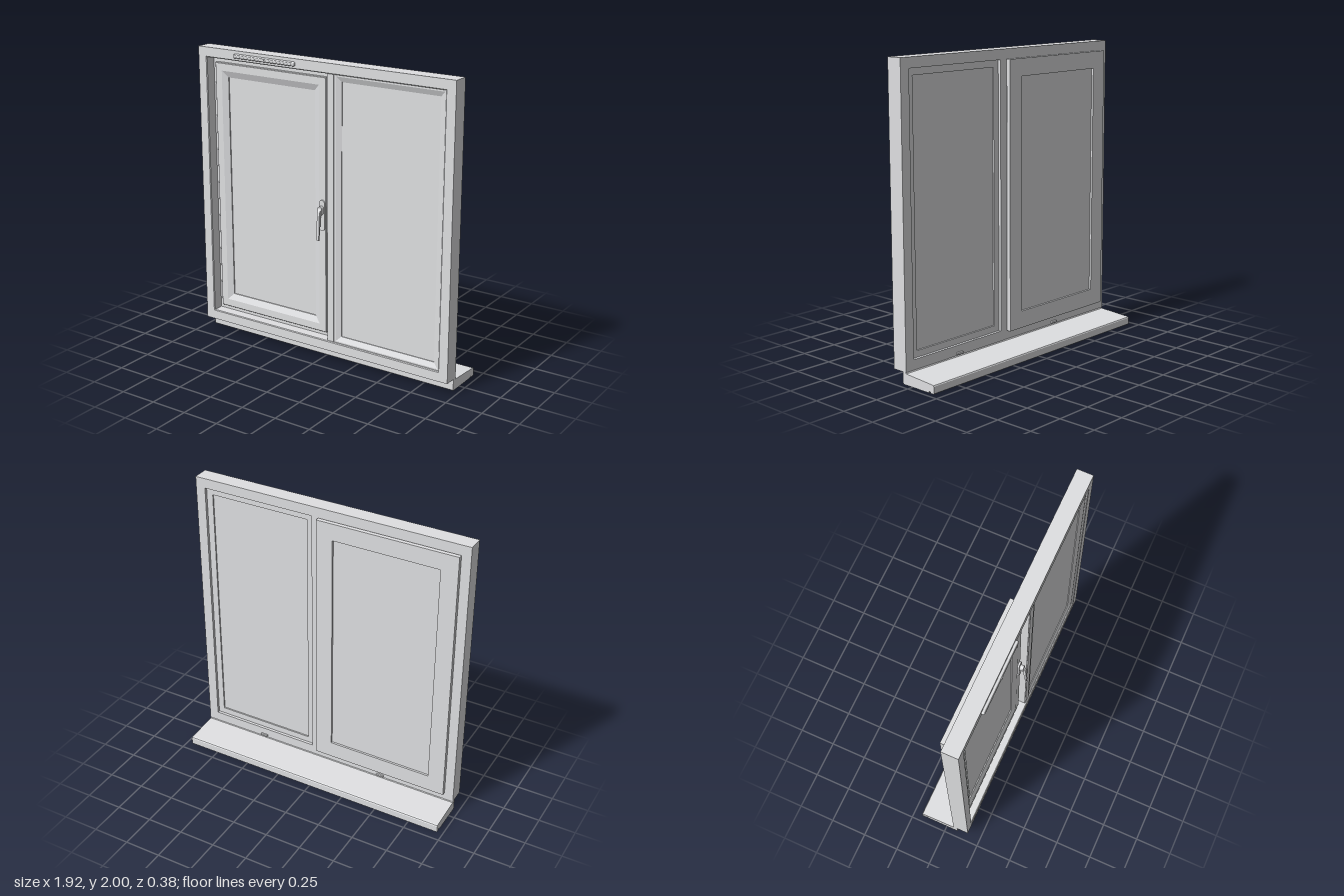
import * as THREE from 'three';
import { RoundedBoxGeometry } from 'three/addons/geometries/RoundedBoxGeometry.js';

const grey = new THREE.MeshStandardMaterial({ color: 0xdfe0e2 });
grey.name = 'window light grey';

function add(parent, name, geometry, x = 0, y = 0, z = 0) {
  const mesh = new THREE.Mesh(geometry, grey);
  mesh.name = name;
  mesh.position.set(x, y, z);
  parent.add(mesh);
  return mesh;
}

// Mitred rectangular ring: a closed [inset, z] profile, front outer edge first, run round a rectangle
function ring([x0, x1, y0, y1], profile) {
  const corner = (k, [d, z]) => [
    [x0 + d, y0 + d, z], [x1 - d, y0 + d, z], [x1 - d, y1 - d, z], [x0 + d, y1 - d, z],
  ][k % 4];
  const pos = [];
  profile.forEach((p, i) => {
    const q = profile[(i + 1) % profile.length];
    for (let k = 0; k < 4; k++) {
      const a = corner(k, p), b = corner(k + 1, p), c = corner(k + 1, q), d = corner(k, q);
      pos.push(...a, ...b, ...c, ...a, ...c, ...d);
    }
  });
  const g = new THREE.BufferGeometry();
  g.setAttribute('position', new THREE.Float32BufferAttribute(pos, 3));
  g.computeVertexNormals();
  return g;
}

// Plain ring of rectangular section
const plainRing = (rect, d0, d1, back, front) =>
  ring(rect, [[d0, front], [d1, front], [d1, back], [d0, back]]);

// Box given by its limits
function slab(parent, name, x0, x1, y0, y1, z0, z1) {
  return add(parent, name, new THREE.BoxGeometry(x1 - x0, y1 - y0, z1 - z0),
    (x0 + x1) / 2, (y0 + y1) / 2, (z0 + z1) / 2);
}

// Side profile of [z, y] points, extruded along x and centred on x = 0
function sideExtrude(points, width) {
  const shape = new THREE.Shape(points.map(([z, y]) => new THREE.Vector2(z, y)));
  const g = new THREE.ExtrudeGeometry(shape, { depth: width, bevelEnabled: false });
  g.rotateY(-Math.PI / 2);
  g.translate(width / 2, 0, 0);
  return g;
}

// Upright capsule plate
function capsule(width, height, depth) {
  const r = width / 2, h = height / 2 - r;
  const s = new THREE.Shape();
  s.absarc(0, h, r, 0, Math.PI, false);
  s.absarc(0, -h, r, Math.PI, Math.PI * 2, false);
  s.closePath();
  return new THREE.ExtrudeGeometry(s, { depth, bevelEnabled: false, curveSegments: 10 });
}

export function createModel() {
  const model = new THREE.Group();
  model.name = 'casementWindow';

  // Outer frame and mullion
  add(model, 'outerFrame', ring([-0.96, 0.96, 0.08, 2],
    [[0, 0.164], [0.062, 0.164], [0.067, 0.159], [0.067, 0.055], [0, 0.055]]));
  slab(model, 'mullion', 0.05, 0.108, 0.14, 1.94, 0.055, 0.149);
  slab(model, 'mullionFace', 0.055, 0.103, 0.14, 1.94, 0.149, 0.154);

  // Fixed light on the right of the front
  const fixed = new THREE.Group();
  fixed.name = 'fixedLight';
  model.add(fixed);
  const fixedRect = [0.106, 0.895, 0.144, 1.934];
  add(fixed, 'rearRebate', plainRing(fixedRect, 0, 0.046, 0.074, 0.1));
  add(fixed, 'glazingBead', ring(fixedRect,
    [[0, 0.152], [0.013, 0.152], [0.047, 0.138], [0.047, 0.1], [0, 0.1]]));
  slab(fixed, 'fixedGlass', 0.14, 0.86, 0.17, 1.91, 0.084, 0.133);

  // Opening sash with its rear flange and sloped bead
  const sash = new THREE.Group();
  sash.name = 'openingSash';
  model.add(sash);
  const sashRect = [-0.9, 0.057, 0.14, 1.935];
  add(model, 'sashStop', plainRing(sashRect, 0, 0.039, 0.056, 0.09));
  add(sash, 'gasket', plainRing(sashRect, 0.008, 0.03, 0.047, 0.057));
  add(sash, 'sashFrame', ring(sashRect, [
    [0, 0.048], [0.039, 0.048], [0.039, 0.113], [0.042, 0.116], [0.091, 0.116],
    [0.134, 0.099], [0.134, 0.05], [0.115, 0.05], [0.115, 0.02], [0, 0.02],
  ]));
  slab(sash, 'sashGlass', -0.79, -0.055, 0.25, 1.825, 0.034, 0.05);
  slab(sash, 'sashGlassFront', -0.77, -0.075, 0.27, 1.805, 0.05, 0.092);

  // Handle on the sash stile
  const handle = new THREE.Group();
  handle.name = 'handle';
  handle.position.x = -0.007;
  model.add(handle);
  add(handle, 'handlePlate', capsule(0.042, 0.206, 0.014), 0, 0.993, 0.114);
  add(handle, 'handleBoss', capsule(0.032, 0.06, 0.026), 0, 1.03, 0.127);
  add(handle, 'lever', sideExtrude([
    [0.14, 1.045], [0.14, 1.01], [0.152, 0.99], [0.159, 0.92], [0.168, 0.835],
    [0.177, 0.838], [0.173, 0.93], [0.17, 1.0], [0.164, 1.025], [0.152, 1.045],
  ], 0.018));

  // Slot ventilator on the head of the frame
  const vent = new THREE.Group();
  vent.name = 'ventilator';
  vent.position.set(-0.42, 1.966, 0.164);
  model.add(vent);
  add(vent, 'ventBody', new RoundedBoxGeometry(0.48, 0.028, 0.036, 3, 0.009));
  for (const y of [-0.006, 0.006]) {
    add(vent, 'ventRail', new THREE.BoxGeometry(0.46, 0.006, 0.006), 0, y, 0.017);
  }
  const knob = add(vent, 'ventKnob', new THREE.CylinderGeometry(0.01, 0.01, 0.01, 16), 0, 0, 0.018);
  knob.rotation.x = Math.PI / 2;

  // Sill with a sloped top and a drip groove underneath
  add(model, 'sill', sideExtrude([
    [0.079, 0], [0.083, 0.008], [0.083, 0.08], [0.06, 0.08], [0.054, 0.072], [-0.176, 0.057],
    [-0.184, 0.054], [-0.188, 0.048], [-0.188, 0.004], [-0.184, 0], [-0.158, 0],
    [-0.158, 0.01], [-0.146, 0.01], [-0.146, 0],
  ], 1.92));

  // Drain covers on the back of the bottom rail
  for (const x of [-0.42, 0.5]) {
    add(model, 'drainCover', new RoundedBoxGeometry(0.054, 0.016, 0.024, 2, 0.005), x, 0.093, 0.055);
  }

  return model;
}
